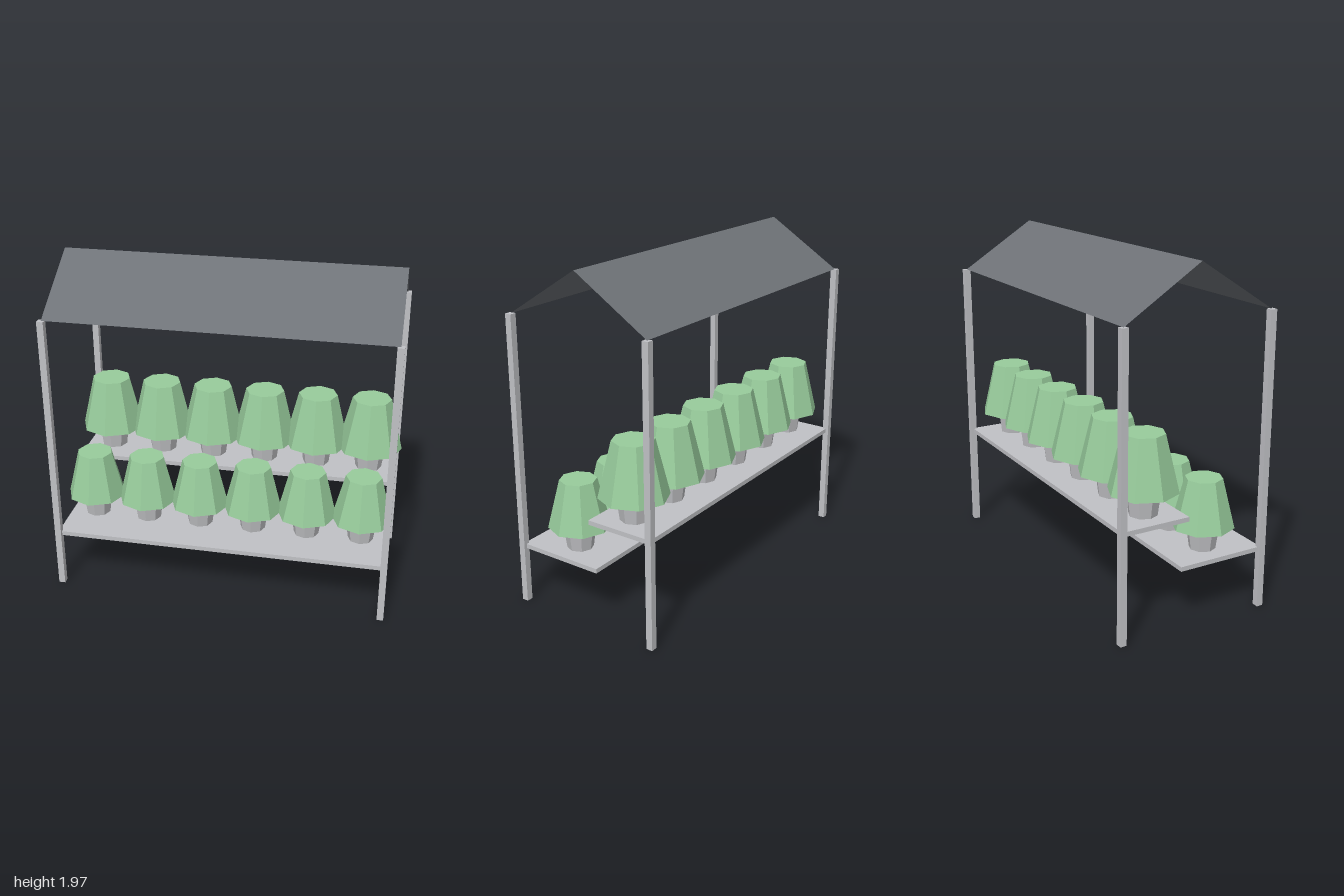
import * as THREE from 'three';

const flat = (name, color, extra = {}) => {
  const m = new THREE.MeshStandardMaterial({ color, flatShading: true, ...extra });
  m.name = name;
  return m;
};

export function createModel() {
  const group = new THREE.Group();
  const metal = flat('paleGreyMetal', 0xc0c1c5);
  const potGrey = flat('potGrey', 0xbebfc2);
  const leaf = flat('leafGreen', 0x98cc9c);
  const slate = flat('slateRoof', 0x6e7277, { side: THREE.DoubleSide });

  const add = (name, geometry, material, x, y, z, parent = group) => {
    const mesh = new THREE.Mesh(geometry, material);
    mesh.name = name;
    mesh.position.set(x, y, z);
    parent.add(mesh);
    return mesh;
  };

  // Four corner posts
  const postGeo = new THREE.BoxGeometry(0.038, 1.685, 0.038);
  for (const x of [-0.962, 0.962])
    for (const z of [-0.443, 0.443])
      add(z > 0 ? 'frontPost' : 'backPost', postGeo, metal, x, 1.685 / 2, z);

  // Two stepped shelves, each with a row of six potted shrubs
  const rows = [
    { name: 'front', top: 0.355, z0: -0.08, z1: 0.443, z: 0.162, potTop: 0.092, potBase: 0.074,
      potH: 0.13, leafBase: 0.175, leafTop: 0.104, leafH: 0.28 },
    { name: 'back', top: 0.633, z0: -0.443, z1: -0.037, z: -0.224, potTop: 0.096, potBase: 0.079,
      potH: 0.133, leafBase: 0.194, leafTop: 0.116, leafH: 0.319 },
  ];
  for (const r of rows) {
    add(r.name + 'Shelf', new THREE.BoxGeometry(1.924, 0.026, r.z1 - r.z0), metal,
      0, r.top - 0.013, (r.z0 + r.z1) / 2);
    const potGeo = new THREE.CylinderGeometry(r.potTop, r.potBase, r.potH, 8);
    const leafGeo = new THREE.CylinderGeometry(r.leafTop, r.leafBase, r.leafH, 8);
    for (let i = 0; i < 6; i++) {
      const plant = new THREE.Group();
      plant.name = r.name + 'Plant';
      plant.position.set((i - 2.5) * 0.322, r.top, r.z);
      add('pot', potGeo, potGrey, 0, r.potH / 2, 0, plant);
      add('foliage', leafGeo, leaf, 0, r.potH + r.leafH / 2, 0, plant);
      group.add(plant);
    }
  }

  // Pitched sheet roof with open gables
  const rise = 0.28, run = 0.442;
  const slope = new THREE.PlaneGeometry(1.924, Math.hypot(rise, run));
  for (const s of [1, -1]) {
    const panel = add(s > 0 ? 'frontRoofPanel' : 'backRoofPanel', slope, slate,
      0, 1.685 + rise / 2, s * run / 2);
    panel.rotation.order = 'YXZ';
    panel.rotation.set(-Math.atan2(run, rise), s > 0 ? 0 : Math.PI, 0);
  }
  return group;
}
